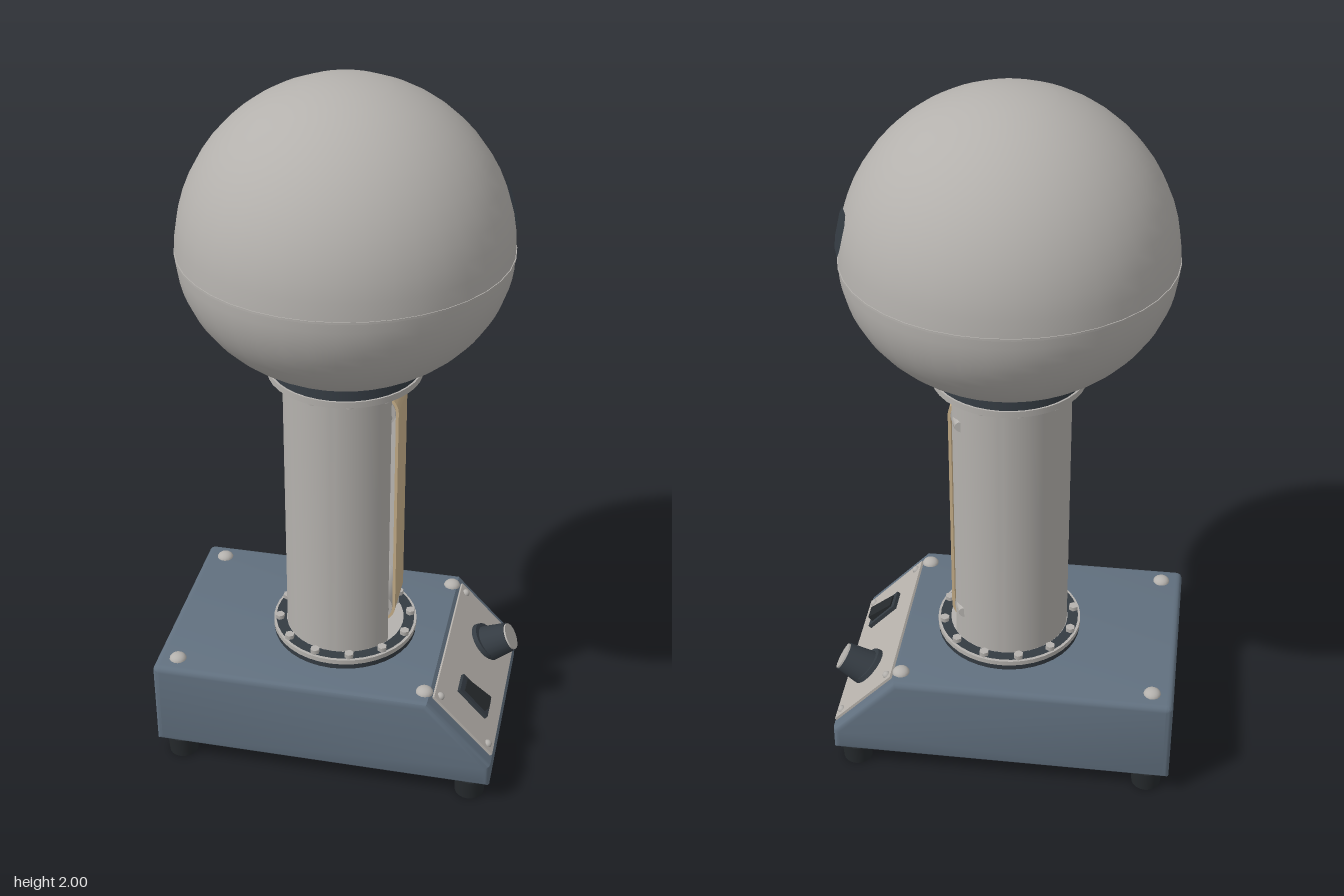
import * as THREE from 'three';
import { toCreasedNormals } from 'three/addons/utils/BufferGeometryUtils.js';

const mat = (name, color, side = THREE.FrontSide) => {
  const m = new THREE.MeshStandardMaterial({ color, side });
  m.name = name;
  return m;
};

export function createModel() {
  const root = new THREE.Group();
  const blue = mat('blue grey paint', 0x61707f);
  const metal = mat('light metal', 0xb4b1ad, THREE.DoubleSide);
  const panelGrey = mat('panel grey', 0xb7b2ac);
  const dark = mat('dark plastic', 0x343b42, THREE.DoubleSide);
  const black = mat('black rubber', 0x25292c);
  const beltTan = mat('belt tan', 0xc9b18b, THREE.DoubleSide);

  const add = (name, geo, material, x = 0, y = 0, z = 0, parent = root) => {
    const m = new THREE.Mesh(geo, material);
    m.name = name;
    m.position.set(x, y, z);
    parent.add(m);
    return m;
  };
  const cyl = (rt, rb, h, n = 32) => new THREE.CylinderGeometry(rt, rb, h, n);
  const dome = (r) => new THREE.SphereGeometry(r, 14, 6, 0, Math.PI * 2, 0, Math.PI / 2);

  // Housing: side profile with a sloped control face, bevelled along z
  const side = new THREE.Shape();
  side.moveTo(-0.5, 0.062);
  side.lineTo(0.48, 0.062);
  side.lineTo(0.48, 0.135);
  side.lineTo(0.295, 0.333);
  side.lineTo(-0.48, 0.333);
  side.quadraticCurveTo(-0.5, 0.333, -0.5, 0.313);
  const b = 0.018;
  const housing = new THREE.ExtrudeGeometry(side, {
    depth: 0.624 - 2 * b, bevelEnabled: true, bevelThickness: b, bevelSize: b,
    bevelOffset: -b, bevelSegments: 4, curveSegments: 6,
  });
  housing.translate(0, 0, -0.312 + b);
  add('housing', toCreasedNormals(housing, 0.6), blue);
  add('basePlate', new THREE.BoxGeometry(0.94, 0.008, 0.58), black, -0.01, 0.06, 0);

  // Feet and top screws
  for (const z of [-0.26, 0.26]) {
    for (const x of [-0.435, 0.42]) {
      add('foot', cyl(0.046, 0.042, 0.062, 20), black, x, 0.031, z);
    }
    for (const x of [-0.438, 0.28]) {
      add('topScrew', dome(0.025), metal, x, 0.331, z * 0.98).scale.y = 0.7;
    }
  }

  // Sloped control panel; local x runs down the slope, local y points outward
  const panel = new THREE.Group();
  panel.name = 'controlPanel';
  panel.position.set(0.3875, 0.234, 0);
  panel.rotation.z = -Math.atan2(0.198, 0.185);
  root.add(panel);
  add('panelPlate', new THREE.BoxGeometry(0.25, 0.009, 0.54), panelGrey, 0.003, 0.003, -0.005, panel);
  for (const x of [-0.1, 0.105]) for (const z of [-0.25, 0.24]) {
    add('panelScrew', dome(0.012), metal, x, 0.006, z, panel);
  }
  add('switchFrame', new THREE.BoxGeometry(0.12, 0.014, 0.072), dark, 0.014, 0.012, 0.128, panel);
  const rocker = add('switchRocker', new THREE.BoxGeometry(0.09, 0.022, 0.048), black, 0.014, 0.02, 0.128, panel);
  rocker.rotation.z = 0.15;
  add('knobSkirt', cyl(0.056, 0.06, 0.016, 24), dark, 0.014, 0.013, -0.13, panel);

  // Knob
  const knob = new THREE.Group();
  knob.name = 'knob';
  knob.position.set(0.4, 0.217, -0.13);
  knob.rotation.z = -Math.PI / 3;
  root.add(knob);
  add('knobBody', cyl(0.043, 0.056, 0.088, 20), dark, 0, 0.044, 0, knob);
  add('knobCap', cyl(0.04, 0.04, 0.006, 20), metal, 0, 0.09, 0, knob);

  // Column: tube with a slot open towards +x
  const a = 0.56;
  const ring = new THREE.Shape();
  ring.absarc(0, 0, 0.17, a, Math.PI * 2 - a, false);
  ring.absarc(0, 0, 0.157, Math.PI * 2 - a, a, true);
  const tube = new THREE.ExtrudeGeometry(ring, { depth: 0.85, bevelEnabled: false, curveSegments: 32 });
  tube.rotateX(-Math.PI / 2);
  add('column', toCreasedNormals(tube, 0.6), metal, 0, 0.355, 0);

  // Flanges with a ring of bolts
  const flangeRing = new THREE.RingGeometry(0.172, 0.203, 40);
  flangeRing.rotateX(-Math.PI / 2);
  add('lowerGasket', cyl(0.208, 0.208, 0.018, 40), dark, 0, 0.341, 0);
  add('lowerFlange', cyl(0.21, 0.21, 0.014, 40), metal, 0, 0.357, 0);
  add('lowerFlangeFace', flangeRing, dark, 0, 0.3655, 0);
  add('upperFlange', cyl(0.21, 0.21, 0.018, 40), metal, 0, 1.204, 0);
  add('neckCollar', cyl(0.2, 0.205, 0.055, 40), dark, 0, 1.238, 0);
  for (let i = 0; i < 12; i++) {
    const t = (i + 0.5) / 12 * Math.PI * 2;
    for (const y of [0.367, 1.2]) {
      add('flangeBolt', cyl(0.014, 0.014, 0.022, 6), metal, Math.cos(t) * 0.192, y, Math.sin(t) * 0.192);
    }
  }

  // Belt: closed loop around two rollers
  const bx = 0.1, bz = -0.013, r = 0.057, yLow = 0.457, yHigh = 1.105;
  const loop = (S, rad) => {
    S.absarc(0, yHigh, rad, 0, Math.PI, false);
    S.absarc(0, yLow, rad, Math.PI, Math.PI * 2, false);
    S.closePath();
    return S;
  };
  const beltShape = loop(new THREE.Shape(), r);
  beltShape.holes.push(loop(new THREE.Path(), r - 0.008));
  const belt = new THREE.ExtrudeGeometry(beltShape, { depth: 0.132, bevelEnabled: false, curveSegments: 12 });
  add('belt', toCreasedNormals(belt, 0.6), beltTan, bx, 0, bz - 0.066);

  // Rollers, axles, nuts and brackets
  for (const [y, dir] of [[yLow, -1], [yHigh, 1]]) {
    add('roller', cyl(r - 0.008, r - 0.008, 0.136, 24), metal, bx, y, bz).rotation.x = Math.PI / 2;
    add('axle', cyl(0.016, 0.016, 0.22, 14), metal, bx, y, bz).rotation.x = Math.PI / 2;
    for (const s of [-1, 1]) {
      add('bracket', new THREE.BoxGeometry(0.07, 0.125, 0.008), metal, bx, y + dir * 0.035, bz + s * 0.08);
      const nut = add('axleNut', cyl(0.016, 0.028, 0.028, 12), metal, bx + 0.015, y - dir * 0.005, bz + s * 0.098);
      nut.rotation.x = s * Math.PI / 2;
    }
  }

  // Sphere: round upper half, flatter lower half down to the collar
  const cy = 1.56, R = 0.438;
  const lower = [], upper = [];
  for (let i = 0; i <= 14; i++) {
    const t = -1.1 + (i / 14) * 1.1;
    lower.push(new THREE.Vector2(Math.cos(t) * R, cy + Math.sin(t) * 0.355));
    const u = (i / 14) * Math.PI / 2;
    upper.push(new THREE.Vector2(Math.max(Math.cos(u) * R, 0), cy + Math.sin(u) * R));
  }
  add('lowerShell', new THREE.LatheGeometry(lower, 40), metal);
  add('upperShell', new THREE.LatheGeometry(upper, 40), metal);
  const seam = [[R - 0.01, -0.003], [R + 0.002, -0.003], [R + 0.002, 0.003], [R - 0.01, 0.003]]
    .map(([x, y]) => new THREE.Vector2(x, cy + y));
  add('seam', toCreasedNormals(new THREE.LatheGeometry(seam, 40), 0.6), metal);
  add('crownCap', new THREE.SphereGeometry(0.44, 36, 6, 0, Math.PI * 2, 0, 0.275), metal, 0, cy, 0);

  // Dark patch laid on the sphere surface
  const patchShape = new THREE.Shape();
  [[-0.03, -0.06], [0.035, -0.055], [0.05, -0.03], [0.045, 0.04], [0.025, 0.06], [-0.03, 0.055],
    [-0.048, 0.03], [-0.05, -0.035]].forEach(([z, y], i) => (i ? patchShape.lineTo(-z, y) : patchShape.moveTo(-z, y)));
  const patch = new THREE.ShapeGeometry(patchShape);
  const p = patch.attributes.position;
  for (let i = 0; i < p.count; i++) {
    const z = p.getX(i) - 0.13, y = p.getY(i) + 0.1;
    p.setXYZ(i, Math.sqrt(0.445 ** 2 - y * y - z * z), y, z);
  }
  patch.computeVertexNormals();
  // Corner order is reversed when the mapped plane faces inward
  if (patch.attributes.normal.getX(0) < 0) {
    patch.index.array.reverse();
    patch.computeVertexNormals();
  }
  add('patch', patch, dark, 0, cy, 0);

  return root;
}
